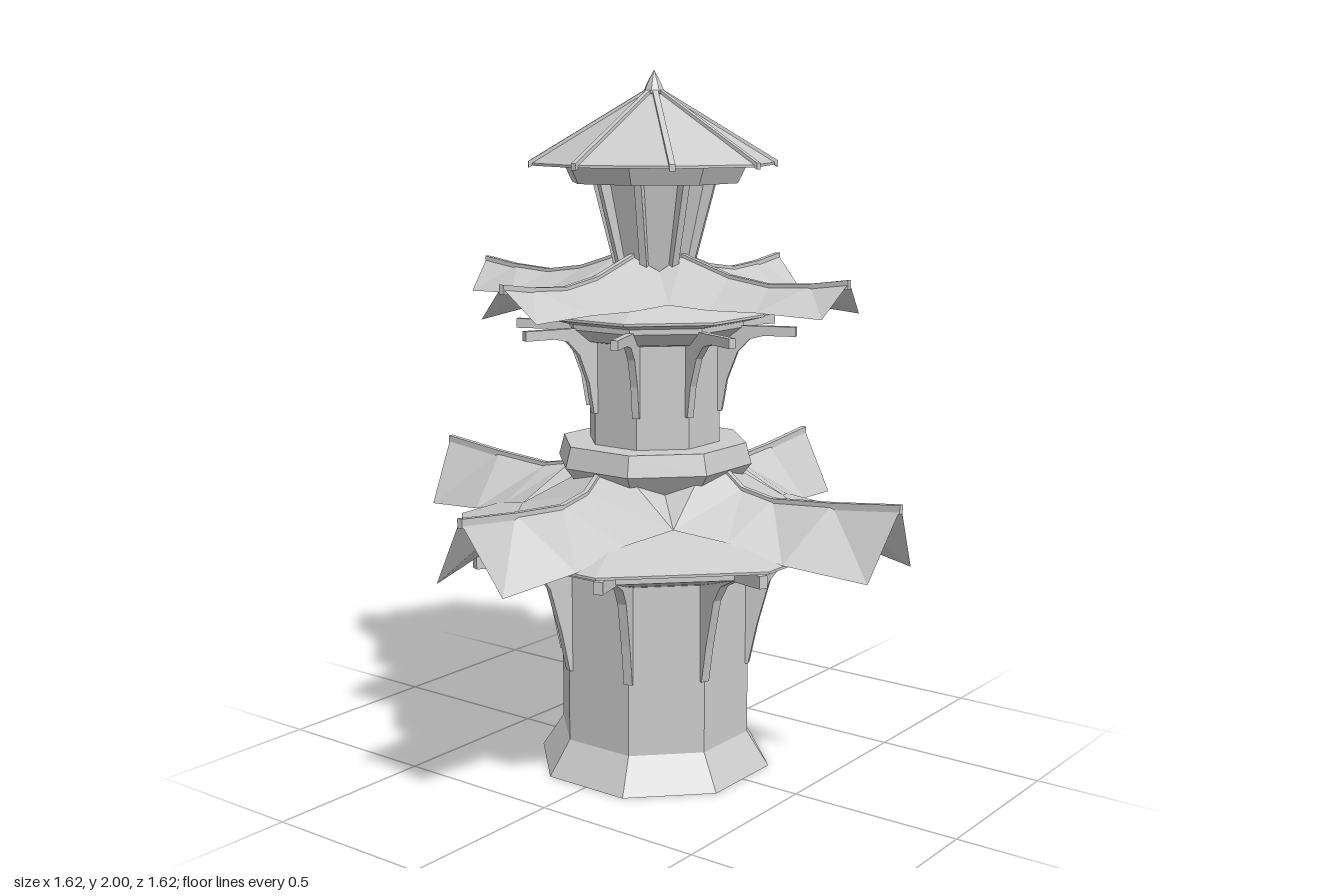
import * as THREE from 'three';

const material = new THREE.MeshStandardMaterial({ color: 0xcccccc, flatShading: true, side: THREE.DoubleSide });

function addMesh(parent, name, geometry, angle = 0) {
  const mesh = new THREE.Mesh(geometry, material);
  mesh.name = name;
  mesh.rotation.y = angle;
  parent.add(mesh);
}

// Eight-sided solid from [distance to flat side, y] pairs, listed upwards
function octagon(profile, turn = Math.PI / 8) {
  const k = 1 / Math.cos(Math.PI / 8);
  return new THREE.LatheGeometry(profile.map(([a, y]) => new THREE.Vector2(a * k, y)), 8, turn);
}

// Thin upright plate from an [r, y] outline, standing along +x
function plate(outline, width) {
  const shape = new THREE.Shape(outline.map(([r, y]) => new THREE.Vector2(r, y)));
  const g = new THREE.ExtrudeGeometry(shape, { depth: width, bevelEnabled: false });
  return g.translate(0, 0, -width / 2);
}

// Bar following an [r, y] line
function bar(line, height, width) {
  const lower = line.map(([r, y]) => [r, y - height]).reverse();
  return plate([...line, ...lower], width);
}

// Gabled wing along +x: ridge [r, y], eave [r, halfWidth, y], from tip inwards
function wing(ridge, eave) {
  const pos = [], index = [];
  for (const s of [1, -1]) {
    const base = pos.length / 3;
    ridge.forEach(([r, y], i) => {
      const [er, w, ey] = eave[i];
      pos.push(r, y, 0, er, ey, s * w);
      if (i === 0) return;
      const a = base + i * 2 - 2, b = a + 1, c = a + 2, d = a + 3;
      if (s > 0) index.push(a, c, b, b, c, d);
      else index.push(a, b, c, b, d, c);
    });
  }
  const g = new THREE.BufferGeometry();
  g.setAttribute('position', new THREE.Float32BufferAttribute(pos, 3));
  g.setIndex(index);
  g.computeVertexNormals();
  return g;
}

function addWings(parent, ridge, eave) {
  const surface = wing(ridge, eave);
  const beam = bar(ridge.map(([r, y]) => [r, y + 0.006]), 0.025, 0.016);
  for (let i = 0; i < 4; i++) {
    addMesh(parent, 'gableWing', surface, i * Math.PI / 2);
    addMesh(parent, 'ridgeBeam', beam, i * Math.PI / 2);
  }
}

// One copy at each corner of the octagon
function addAround(parent, name, geometry, turn = Math.PI / 8) {
  for (let i = 0; i < 8; i++) addMesh(parent, name, geometry, turn + i * Math.PI / 4);
}

export function createModel() {
  const model = new THREE.Group();
  model.name = 'pagoda';

  // Lower storey
  const lower = new THREE.Group();
  lower.name = 'lowerStorey';
  model.add(lower);
  addMesh(lower, 'base', octagon([[0, 0], [0.32, 0], [0.26, 0.1], [0.26, 0.68]]));
  addMesh(lower, 'cornice', octagon([[0.26, 0.59], [0.32, 0.61], [0.42, 0.645], [0.42, 0.69]]));
  addAround(lower, 'bracket', plate([
    [0.27, 0.31], [0.285, 0.31], [0.31, 0.43], [0.345, 0.56], [0.38, 0.61], [0.44, 0.64],
    [0.57, 0.65], [0.57, 0.685], [0.27, 0.685]], 0.025));
  addMesh(lower, 'skirtRoof', octagon([[0.42, 0.685], [0.55, 0.695], [0.55, 0.702], [0.25, 0.81]]));
  addWings(lower,
    [[0.81, 0.87], [0.6, 0.847], [0.41, 0.833], [0.31, 0.852], [0.2, 0.94]],
    [[0.78, 0.115, 0.68], [0.55, 0.165, 0.705], [0.4, 0.2, 0.75], [0.27, 0.27, 0.78], [0.16, 0.16, 0.84]]);
  addMesh(lower, 'collar', octagon([[0, 0.81], [0.2, 0.81], [0.265, 0.9], [0.25, 0.96], [0, 0.96]]));

  // Middle storey
  const middle = new THREE.Group();
  middle.name = 'middleStorey';
  model.add(middle);
  addMesh(middle, 'wall', octagon([[0.178, 0.95], [0.178, 1.33]]));
  addMesh(middle, 'cornice', octagon([[0.178, 1.25], [0.2, 1.255], [0.24, 1.29], [0.24, 1.32]]));
  addAround(middle, 'bracket', plate([
    [0.185, 1.05], [0.2, 1.05], [0.215, 1.14], [0.245, 1.22], [0.28, 1.258], [0.32, 1.268],
    [0.41, 1.268], [0.41, 1.295], [0.185, 1.295]], 0.02));
  addMesh(middle, 'skirtRoof', octagon([[0.24, 1.305], [0.295, 1.32], [0.295, 1.327], [0.16, 1.39]]));
  addWings(middle,
    [[0.64, 1.447], [0.52, 1.43], [0.39, 1.422], [0.26, 1.44], [0.1, 1.49]],
    [[0.615, 0.094, 1.355], [0.43, 0.125, 1.363], [0.3, 0.155, 1.363], [0.2, 0.2, 1.375], [0.08, 0.08, 1.45]]);

  // Top storey
  const top = new THREE.Group();
  top.name = 'topStorey';
  model.add(top);
  addMesh(top, 'wall', octagon([[0.09, 1.44], [0.14, 1.7]]));
  addAround(top, 'rib', plate([[0.09, 1.455], [0.115, 1.455], [0.178, 1.695], [0.13, 1.695]], 0.02));
  addMesh(top, 'cornice', octagon([[0.12, 1.69], [0.222, 1.69], [0.245, 1.74]]));
  const flat = Math.cos(Math.PI / 8);
  addMesh(top, 'capRoof', octagon([[0.2, 1.745], [0.345 * flat, 1.738], [0.345 * flat, 1.745], [0.02, 1.94]], 0));
  addAround(top, 'capRib', bar([[0.352, 1.75], [0.02, 1.948]], 0.018, 0.016), 0);
  addMesh(top, 'finial', octagon([[0.015, 1.92], [0.03, 1.935], [0.02, 1.96], [0, 2]]));
  return model;
}
